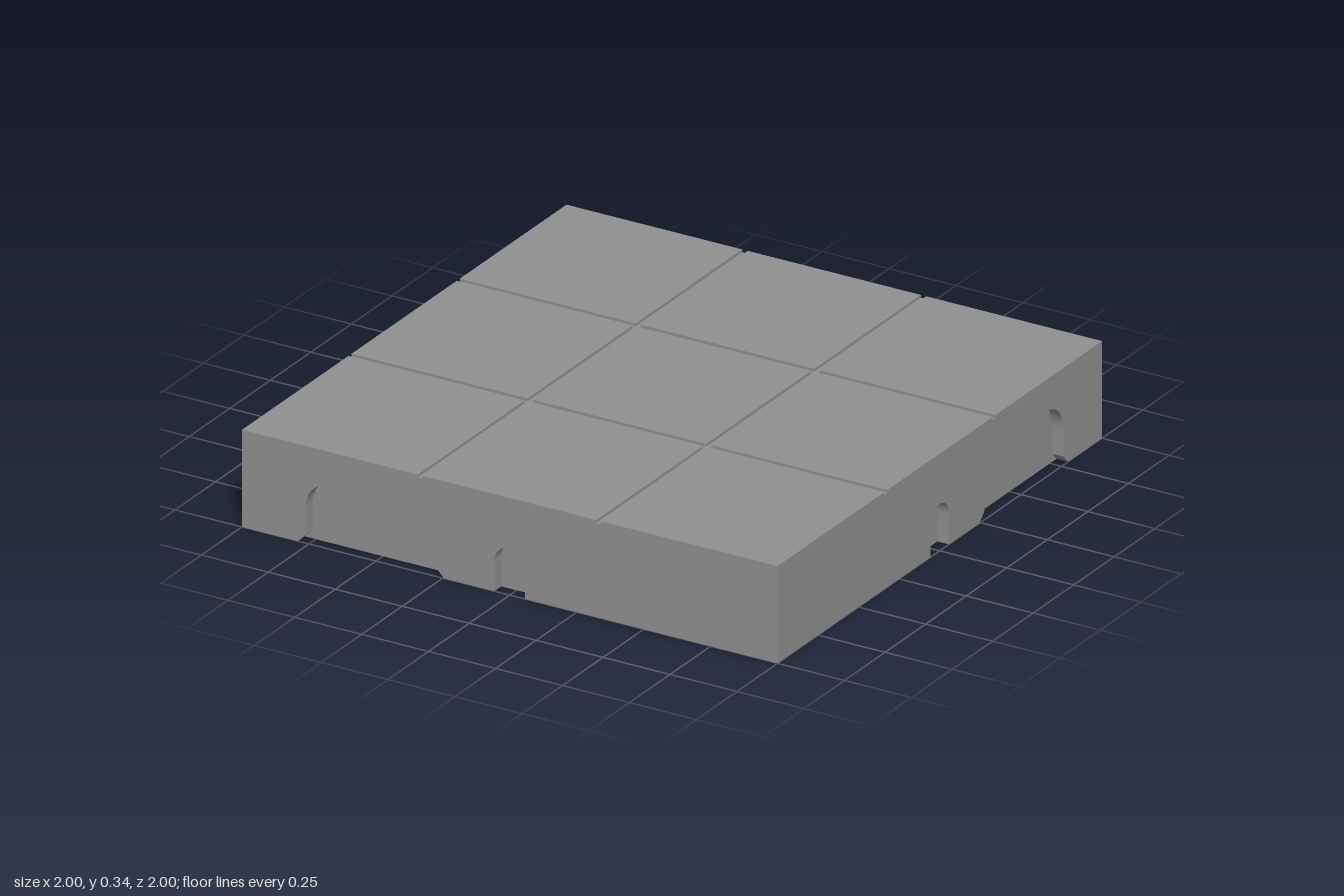
import * as THREE from 'three';
import { toCreasedNormals } from 'three/addons/utils/BufferGeometryUtils.js';

const HEIGHT = 0.342, DEPTH = 0.043;
const GROOVE = 1 / 3, GROOVE_HALF = 0.01, GROOVE_FLOOR = HEIGHT - 0.01;

const v2 = (x, y) => new THREE.Vector2(x, y);

// Arch-shaped opening, left foot to right foot, standing on y = 0
function archPoints(c, half, top, r, flare) {
  const pts = [];
  if (flare) pts.push(v2(c - half - flare, 0));
  pts.push(v2(c - half, flare));
  const n = 12;
  for (let i = 0; i <= n; i++) {
    const a = Math.PI - (i / n) * Math.PI / 2;
    pts.push(v2(c - half + r + r * Math.cos(a), top - r + r * Math.sin(a)));
  }
  // mirror for the right half; skip a doubled crown point
  const right = pts.map(p => v2(2 * c - p.x, p.y)).reverse();
  if (half === r) right.shift();
  return pts.concat(right);
}

// Wall swept backwards from an open profile, facing the inside of the arch
function sweep(pts, front, back) {
  const pos = [];
  for (let i = 0; i < pts.length - 1; i++) {
    const p = pts[i], q = pts[i + 1];
    pos.push(p.x, p.y, front, q.x, q.y, back, q.x, q.y, front);
    pos.push(p.x, p.y, front, p.x, p.y, back, q.x, q.y, back);
  }
  const g = new THREE.BufferGeometry();
  g.setAttribute('position', new THREE.Float32BufferAttribute(pos, 3));
  return toCreasedNormals(g, 0.4);
}

// Groove cross-section, right rim to left rim
const grooveProfile = c => [
  v2(c + GROOVE_HALF, HEIGHT), v2(c + GROOVE_HALF, GROOVE_FLOOR),
  v2(c - GROOVE_HALF, GROOVE_FLOOR), v2(c - GROOVE_HALF, HEIGHT),
];

export function createModel() {
  const root = new THREE.Group();
  root.name = 'floorTile';
  const mat = new THREE.MeshStandardMaterial({ color: 0x909090 });
  const add = (parent, name, geo) => {
    const m = new THREE.Mesh(geo, mat);
    m.name = name;
    parent.add(m);
    return m;
  };

  // Four sides, each with a wide slot and a small middle notch
  const bottom = [];
  const slotSide = [-1, 1, 1, -1];
  ['front', 'left', 'back', 'right'].forEach((name, k) => {
    const side = new THREE.Group();
    side.name = name + 'Side';
    const angle = k * Math.PI / 2;
    side.rotation.y = angle;
    root.add(side);

    const openings = [
      { name: 'slot', pts: archPoints(0.518 * slotSide[k], 0.243, 0.229, 0.1, 0.03) },
      { name: 'notch', pts: archPoints(0, 0.057, 0.165, 0.057, 0) },
    ].sort((a, b) => a.pts[0].x - b.pts[0].x);

    const outline = [v2(-1, 0)];
    const foot = [[-1, 1]];
    for (const o of openings) {
      outline.push(...o.pts);
      const l = o.pts[0].x, r = o.pts[o.pts.length - 1].x;
      foot.push([l, 1], [l, 1 - DEPTH], [r, 1 - DEPTH], [r, 1]);
      add(side, o.name + 'Wall', sweep(o.pts, 1, 1 - DEPTH));
      add(side, o.name + 'Back', new THREE.ShapeGeometry(new THREE.Shape(o.pts)))
        .position.z = 1 - DEPTH;
    }
    outline.push(v2(1, 0), v2(1, HEIGHT),
      ...grooveProfile(GROOVE), ...grooveProfile(-GROOVE), v2(-1, HEIGHT));
    add(side, 'face', new THREE.ShapeGeometry(new THREE.Shape(outline))).position.z = 1;

    // Same edge seen from below, turned into place
    const c = Math.cos(angle), s = Math.sin(angle);
    for (const [u, w] of foot) bottom.push(v2(u * c + w * s, -u * s + w * c));
  });

  // Underside, cut away at the openings
  add(root, 'underside',
    new THREE.ShapeGeometry(new THREE.Shape(bottom)).rotateX(Math.PI / 2));

  // Top: nine squares separated by two grooves each way
  const spans = [
    [-1, -GROOVE - GROOVE_HALF],
    [-GROOVE + GROOVE_HALF, GROOVE - GROOVE_HALF],
    [GROOVE + GROOVE_HALF, 1],
  ];
  const flat = (name, [x0, x1], [z0, z1], y) =>
    add(root, name, new THREE.PlaneGeometry(x1 - x0, z1 - z0).rotateX(-Math.PI / 2))
      .position.set((x0 + x1) / 2, y, (z0 + z1) / 2);

  for (const sx of spans) for (const sz of spans) flat('topSquare', sx, sz, HEIGHT);

  for (const c of [-GROOVE, GROOVE]) {
    for (const [a, b] of spans) {
      const geo = sweep(grooveProfile(c), b, a);
      add(root, 'groove', geo);
      add(root, 'crossGroove', geo).rotation.y = Math.PI / 2;
    }
    for (const d of [-GROOVE, GROOVE]) {
      flat('grooveCrossing', [c - GROOVE_HALF, c + GROOVE_HALF],
        [d - GROOVE_HALF, d + GROOVE_HALF], GROOVE_FLOOR);
    }
  }
  return root;
}
